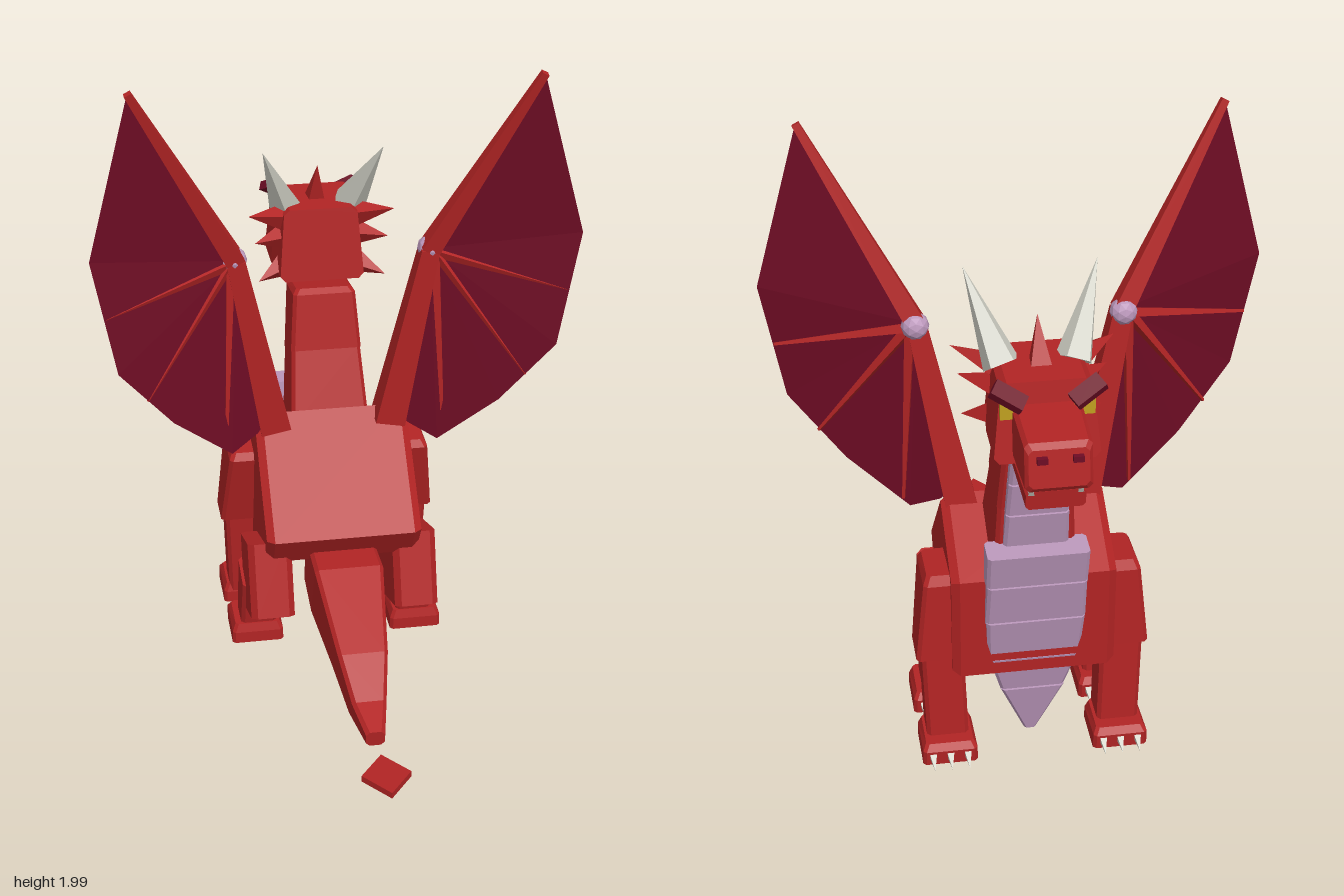
import * as THREE from 'three';

const mat = (name, color, extra = {}) => {
  const m = new THREE.MeshStandardMaterial({ color, flatShading: true, ...extra });
  m.name = name;
  return m;
};

export function createModel() {
  const root = new THREE.Group();
  root.name = 'dragon';
  const red = mat('red scales', 0xb22424);
  const crimson = mat('dark crimson', 0x6e0c24);
  const membraneMat = mat('wing membrane', 0x6e0c24, { side: THREE.DoubleSide });
  const lilac = mat('lilac belly', 0xbc98bc);
  const bone = mat('bone', 0xcfcfc4);
  const yellow = mat('yellow eye', 0xc0a020);

  const add = (name, geo, m, parent = root) => {
    const mesh = new THREE.Mesh(geo, m);
    mesh.name = name;
    parent.add(mesh);
    return mesh;
  };

  // Chamfered box loft. Section: [z1, y1, z2, y2, halfWidth1, halfWidth2, centreX]
  const loft = (sections, c = 0.012) => {
    const pos = [], idx = [], n = 8;
    for (const [z1, y1, z2, y2, w1, w2 = w1, cx = 0] of sections) {
      const f = Math.min(0.3, c / Math.hypot(z2 - z1, y2 - y1));
      const ring = [[-1, 0, 1], [1, 0, 1], [1, f, 0], [1, 1 - f, 0], [1, 1, 1], [-1, 1, 1], [-1, 1 - f, 0], [-1, f, 0]];
      for (const [u, v, inset] of ring) {
        const w = w1 + (w2 - w1) * v;
        pos.push(cx + u * (w - inset * Math.min(c, w * 0.4)), y1 + (y2 - y1) * v, z1 + (z2 - z1) * v);
      }
    }
    const last = (sections.length - 1) * n;
    for (let s = 0; s < last; s += n) {
      for (let i = 0; i < n; i++) {
        const j = (i + 1) % n;
        idx.push(s + i, s + j, s + n + j, s + i, s + n + j, s + n + i);
      }
    }
    for (let i = 1; i < n - 1; i++) idx.push(0, i + 1, i, last, last + i, last + i + 1);
    // Turn the faces outwards whichever way the sections run
    const p = (i) => new THREE.Vector3().fromArray(pos, idx[i] * 3);
    let volume = 0;
    for (let i = 0; i < idx.length; i += 3) volume += p(i).dot(p(i + 1).cross(p(i + 2)));
    if (volume < 0) idx.reverse();
    const g = new THREE.BufferGeometry();
    g.setAttribute('position', new THREE.Float32BufferAttribute(pos, 3));
    g.setIndex(idx);
    const flat = g.toNonIndexed();
    flat.computeVertexNormals();
    return flat;
  };

  // Tapered bar or spike between two points
  const beam = (a, b, r1, r2, sides = 4) => {
    const A = new THREE.Vector3(...a), B = new THREE.Vector3(...b);
    const d = B.clone().sub(A);
    const g = new THREE.CylinderGeometry(r2, r1, d.length(), sides);
    if (sides === 4) g.rotateY(Math.PI / 4);
    g.applyQuaternion(new THREE.Quaternion().setFromUnitVectors(new THREE.Vector3(0, 1, 0), d.normalize()));
    const c = A.add(B).multiplyScalar(0.5);
    return g.translate(c.x, c.y, c.z);
  };

  // Torso: bevelled side profile
  const outline = [[0.045, 0.49], [-0.24, 0.79], [-0.49, 0.65], [-0.485, 0.32], [-0.3, 0.275], [-0.01, 0.4]];
  const shape = new THREE.Shape(outline.map(([z, y]) => new THREE.Vector2(-z, y)));
  const torso = new THREE.ExtrudeGeometry(shape, { depth: 0.46, bevelSize: 0.018, bevelThickness: 0.025, bevelSegments: 1 });
  add('torso', torso.translate(0, 0, -0.23).rotateY(Math.PI / 2), red);

  // Neck
  add('lowerNeck', loft([[-0.25, 0.76, -0.5, 0.62, 0.13], [-0.335, 0.985, -0.515, 0.92, 0.115]]), red);
  add('upperNeck', loft([[-0.33, 0.985, -0.515, 0.92, 0.117], [-0.365, 1.17, -0.55, 1.14, 0.103], [-0.385, 1.185, -0.54, 1.155, 0.09]]), red);

  // Tail segments and the separate tip
  const tail = [
    [-0.1, 0.42, -0.12, 0.22, 0.11], [0.14, 0.425, 0.04, 0.2, 0.112], [0.41, 0.275, 0.275, 0.145, 0.08],
    [0.53, 0.175, 0.46, 0.085, 0.055], [0.64, 0.137, 0.635, 0.085, 0.03],
  ];
  for (let i = 0; i < tail.length - 1; i++) add('tailSegment', loft([tail[i], tail[i + 1]]), red);
  const tip = new THREE.CylinderGeometry(0.095, 0.095, 0.02, 4).scale(0.8, 1, 1);
  add('tailTip', tip.translate(0, 0.11, 0.825), red);

  // Belly plates overlapping down the neck and chest
  const plates = [
    [1.145, 1.03, 0.085, 0.09], [1.035, 0.91, 0.09, 0.095], [0.915, 0.77, 0.095, 0.1],
    [0.79, 0.66, 0.155, 0.155], [0.665, 0.51, 0.152, 0.155], [0.515, 0.35, 0.152, 0.145],
    [0.355, 0.21, 0.14, 0.1], [0.215, 0.02, 0.1, 0.02],
  ];
  plates.forEach(([y1, y2, w1, w2], i) => {
    const front = (y) => (i < 3 ? -0.595 + (1.145 - y) * 0.18 : -0.588 + (0.79 - y) * 0.19);
    const depth = i < 3 ? 0.06 : 0.095;
    add('bellyPlate', loft([
      [front(y1), y1, front(y1) + depth, y1 + 0.005, w1],
      [front(y2) + 0.008, y2, front(y2) + depth * 0.85, y2, w2]], 0.01), lilac);
  });

  // Head
  const head = new THREE.Group();
  head.name = 'head';
  root.add(head);
  add('cranium', loft([
    [-0.44, 1.44, -0.41, 1.2, 0.12, 0.14], [-0.55, 1.44, -0.55, 1.2, 0.13, 0.155],
    [-0.675, 1.44, -0.71, 1.2, 0.13, 0.155]], 0.018), red, head);
  add('snout', loft([[-0.68, 1.375, -0.68, 1.215, 0.1], [-0.872, 1.362, -0.895, 1.22, 0.095], [-0.885, 1.345, -0.905, 1.235, 0.085]]), red, head);
  add('lowerJaw', loft([[-0.55, 1.21, -0.55, 1.175, 0.1], [-0.85, 1.19, -0.845, 1.13, 0.085]], 0.01), red, head);
  add('crest', beam([0, 1.42, -0.565], [0, 1.565, -0.51], 0.045, 0), red, head);

  for (const s of [-1, 1]) {
    const side = s > 0 ? 'left' : 'right';

    // Horns, cheek spikes and face details
    add(side + 'Horn', beam([s * 0.105, 1.42, -0.53], [s * 0.195, 1.665, -0.38], 0.058, 0, 5), bone, head);
    for (const [y, tipX, tipY] of [[1.4, 0.24, 1.435], [1.335, 0.22, 1.34], [1.235, 0.21, 1.205]]) {
      add(side + 'CheekSpike', beam([s * 0.115, y, -0.49], [s * tipX, tipY, -0.42], 0.046, 0), red, head);
    }
    const eye = add(side + 'Eye', new THREE.BoxGeometry(0.06, 0.07, 0.045), yellow, head);
    eye.position.set(s * 0.105, 1.375, -0.68);
    const brow = add(side + 'Brow', new THREE.BoxGeometry(0.1, 0.03, 0.05), crimson, head);
    brow.position.set(s * 0.112, 1.415, -0.705);
    brow.rotation.set(-0.5, s * -0.5, s * 0.3);
    add(side + 'Nostril', new THREE.BoxGeometry(0.03, 0.018, 0.016).translate(s * 0.05, 1.327, -0.91), crimson, head);
    add(side + 'Tooth', beam([s * 0.07, 1.185, -0.845], [s * 0.07, 1.225, -0.875], 0.012, 0), bone, head);

    // Foreleg
    add(side + 'UpperForeleg', loft([
      [-0.455, 0.66, -0.285, 0.645, 0.06, 0.06, s * 0.265], [-0.472, 0.63, -0.27, 0.62, 0.075, 0.075, s * 0.262],
      [-0.482, 0.36, -0.335, 0.36, 0.075, 0.075, s * 0.29]]), red);
    add(side + 'LowerForeleg', loft([
      [-0.478, 0.38, -0.345, 0.37, 0.066, 0.066, s * 0.282], [-0.495, 0.05, -0.375, 0.05, 0.066, 0.066, s * 0.272]]), red);

    // Hind leg
    add(side + 'Thigh', loft([
      [-0.24, 0.365, 0, 0.455, 0.072, 0.072, s * 0.24], [-0.165, 0.125, 0.075, 0.215, 0.072, 0.072, s * 0.24]], 0.02), red);
    add(side + 'Shin', loft([
      [-0.235, 0.27, -0.09, 0.24, 0.06, 0.06, s * 0.262], [-0.24, 0.05, -0.13, 0.05, 0.06, 0.06, s * 0.268]]), red);

    // Feet with three claws each
    for (const [name, z] of [['FrontFoot', -0.375], ['HindFoot', -0.112]]) {
      add(side + name, loft([
        [z - 0.16, 0.075, z - 0.008, 0.075, 0.075, 0.075, s * 0.272],
        [z - 0.178, 0.055, z, 0.045, 0.086, 0.086, s * 0.272],
        [z - 0.175, 0.005, z, 0.005, 0.087, 0.087, s * 0.272]], 0.01), red);
      for (const dx of [-0.055, 0, 0.055]) {
        add(side + name + 'Claw', beam([s * 0.272 + dx, 0.04, z - 0.165], [s * 0.272 + dx, 0.015, z - 0.22], 0.018, 0), bone);
      }
    }

    // Wing
    const wing = new THREE.Group();
    wing.name = side + 'Wing';
    root.add(wing);
    const P = (x, y, z) => [s * x, y, z];
    const wrist = P(0.31, 1.385, -0.185), wingTip = P(0.63, 1.99, -0.057);
    add('wingArm', beam(P(0.19, 0.77, -0.225), wrist, 0.07, 0.042), red, wing);
    add('wingSpar', beam(wrist, wingTip, 0.042, 0.016), red, wing);
    add('wingJoint', new THREE.IcosahedronGeometry(0.043, 1).translate(s * 0.315, 1.385, -0.195), lilac, wing);
    for (const end of [P(0.73, 1.275, -0.043), P(0.61, 0.975, -0.065), P(0.36, 0.75, -0.145)]) {
      add('wingFinger', beam(P(0.33, 1.375, -0.185), end, 0.02, 0.006), red, wing);
    }
    const rim = [
      wingTip, P(0.77, 1.47, -0.04), P(0.7, 1.09, -0.033), P(0.53, 0.88, -0.085),
      P(0.34, 0.72, -0.145), P(0.25, 0.765, -0.19), P(0.2, 0.82, -0.215),
    ];
    const tris = [];
    for (let i = 0; i < rim.length - 1; i++) tris.push(...wrist, ...rim[i], ...rim[i + 1]);
    const skin = new THREE.BufferGeometry();
    skin.setAttribute('position', new THREE.Float32BufferAttribute(tris, 3));
    skin.computeVertexNormals();
    add('wingMembrane', skin, membraneMat, wing);
  }
  return root;
}
